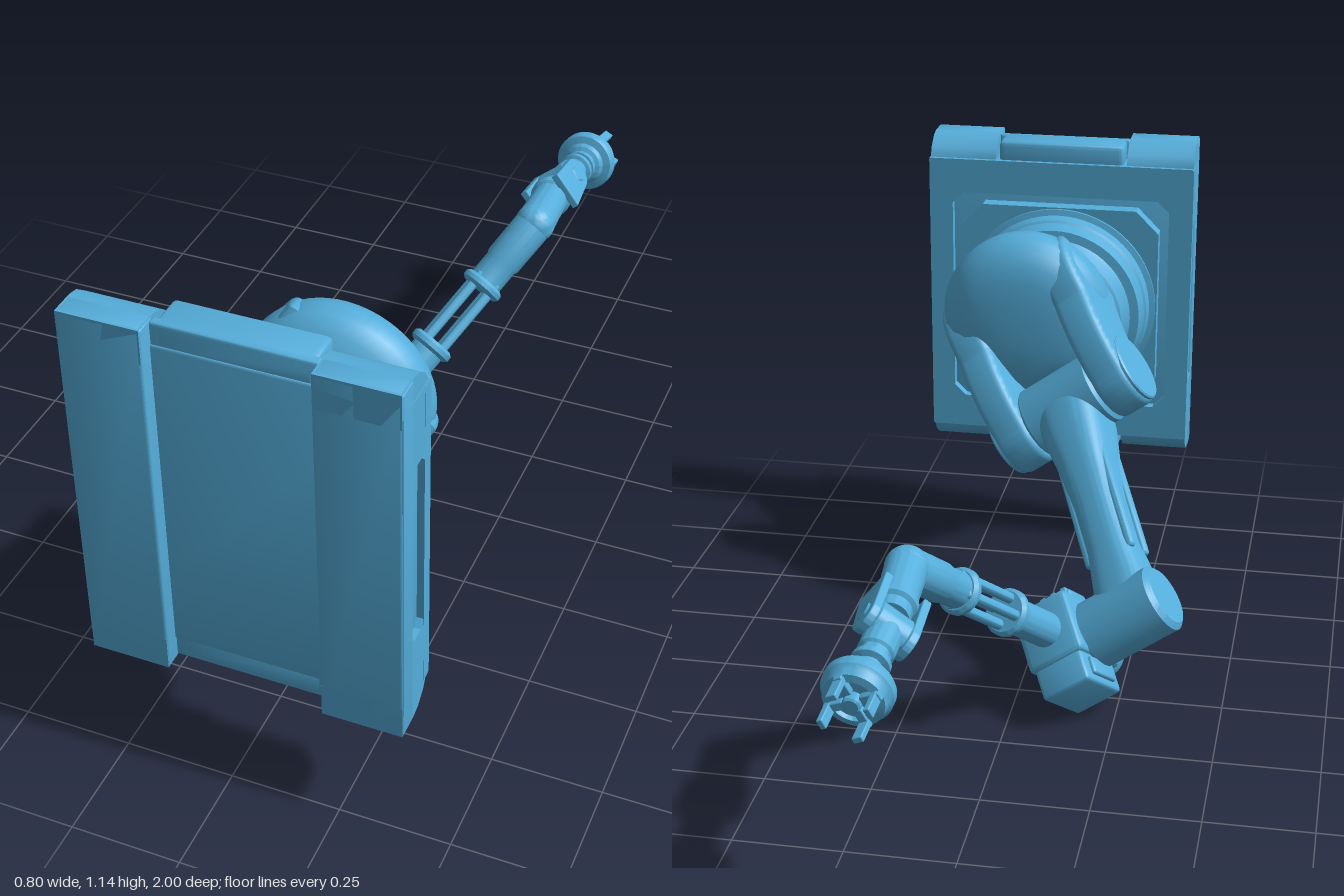
import * as THREE from 'three';
import { toCreasedNormals } from 'three/addons/utils/BufferGeometryUtils.js';
import { RoundedBoxGeometry } from 'three/addons/geometries/RoundedBoxGeometry.js';

const material = new THREE.MeshStandardMaterial({ color: 0x55aedb });
const V = (x, y, z) => new THREE.Vector3(x, y, z);

function add(parent, name, geometry, x = 0, y = 0, z = 0) {
  const mesh = new THREE.Mesh(toCreasedNormals(geometry, 0.6), material);
  mesh.name = name;
  mesh.position.set(x, y, z);
  parent.add(mesh);
  return mesh;
}

function subgroup(parent, name) {
  const g = new THREE.Group();
  g.name = name;
  parent.add(g);
  return g;
}

// Box given by its minimum and maximum corners
function box(parent, name, a, b, r = 0.006) {
  const s = b.map((v, i) => v - a[i]);
  return add(parent, name, new RoundedBoxGeometry(s[0], s[1], s[2], 2, r),
    (a[0] + b[0]) / 2, (a[1] + b[1]) / 2, (a[2] + b[2]) / 2);
}

const lathe = (pts, n = 48) => new THREE.LatheGeometry(pts.map(p => new THREE.Vector2(p[0], p[1])), n);

// Cylinder with chamfered rims, running along y from y0 to y1
function drum(parent, name, r, y0, y1, x = 0, z = 0, c = 0.008) {
  return add(parent, name, lathe([[0, y0], [r - c, y0], [r, y0 + c], [r, y1 - c], [r - c, y1], [0, y1]]), x, 0, z);
}

const polygon = pts => new THREE.Shape(pts.map(p => new THREE.Vector2(p[0], p[1])));

// Rectangle with cut corners
function octagon(x0, x1, y0, y1, c) {
  return polygon([[x0 + c, y0], [x1 - c, y0], [x1, y0 + c], [x1, y1 - c],
    [x1 - c, y1], [x0 + c, y1], [x0, y1 - c], [x0, y0 + c]]);
}

function extrude(shape, depth, bevel = 0) {
  const g = new THREE.ExtrudeGeometry(shape, { depth, bevelEnabled: bevel > 0, bevelSize: bevel,
    bevelThickness: bevel, bevelSegments: 4, curveSegments: 24 });
  return g.translate(0, 0, -depth / 2);
}

// Skin over superellipse sections [z, centreX, radiusX, radiusY, power]
function loft(sections, n = 56) {
  const pos = [], index = [];
  for (const [z, cx, rx, ry, p = 2] of sections) {
    for (let j = 0; j < n; j++) {
      const t = j / n * Math.PI * 2, c = Math.cos(t), s = Math.sin(t);
      pos.push(cx + rx * Math.sign(c) * Math.abs(c) ** (2 / p), ry * Math.sign(s) * Math.abs(s) ** (2 / p), z);
    }
  }
  const last = sections.length - 1;
  pos.push(sections[0][1], 0, sections[0][0], sections[last][1], 0, sections[last][0]);
  const c0 = sections.length * n;
  for (let j = 0; j < n; j++) {
    const k = (j + 1) % n;
    for (let i = 0; i < last; i++) {
      const a = i * n + j, b = i * n + k;
      index.push(a, b, b + n, a, b + n, a + n);
    }
    index.push(c0, k, j, c0 + 1, last * n + j, last * n + k);
  }
  const g = new THREE.BufferGeometry();
  g.setAttribute('position', new THREE.Float32BufferAttribute(pos, 3));
  g.setIndex(index);
  g.computeVertexNormals();
  return g;
}

function buildBase(root) {
  const base = subgroup(root, 'wallBase');
  base.position.set(0.0425, 0.71, 0);
  box(base, 'plateCore', [-0.337, -0.38, 0.885], [0.337, 0.38, 0.965]);
  box(base, 'centrePanel', [-0.165, -0.43, 0.872], [0.165, -0.36, 0.962], 0.012);
  box(base, 'centrePanel', [-0.165, 0.36, 0.872], [0.165, 0.43, 0.962], 0.012);
  box(base, 'centreBack', [-0.175, -0.43, 0.94], [0.175, 0.43, 0.962]);

  // Frame around the square recess
  const frame = octagon(-0.352, 0.352, -0.38, 0.38, 0.004);
  frame.holes.push(octagon(-0.29, 0.29, -0.29, 0.29, 0.03));
  add(base, 'recessFrame', extrude(frame, 0.03), 0, 0, 0.875);
  add(base, 'mountPlate', extrude(octagon(-0.265, 0.265, -0.265, 0.265, 0.06), 0.04), 0, 0, 0.865);

  for (const s of [-1, 1]) {
    // Side skin with an elongated recess
    const side = octagon(0.862, 0.998, -0.38, 0.38, 0.003);
    side.holes.push(octagon(0.88, 0.965, -0.22, 0.22, 0.025));
    add(base, 'sidePanel', extrude(side, 0.017), s * 0.343, 0, 0).rotation.y = -Math.PI / 2;
    box(base, 'backStrip', [s > 0 ? 0.172 : -0.352, -0.434, 0.945], [s > 0 ? 0.352 : -0.172, 0.434, 1]);
    for (const t of [-1, 1]) {
      const foot = polygon([[1, 0.434], [0.94, 0.434], [0.915, 0.428], [0.885, 0.405],
        [0.87, 0.378], [0.87, 0.355], [1, 0.355]].map(([z, y]) => [z, y * t]));
      add(base, 'cornerFoot', extrude(foot, 0.176), s * 0.262, 0, 0).rotation.y = -Math.PI / 2;
    }
  }
  // Stepped turntable
  add(base, 'turntable', lathe([[0.262, -0.01], [0.262, 0.022], [0.247, 0.026], [0.243, 0.055], [0.237, 0.06],
    [0.228, 0.1], [0.205, 0.103], [0.2, 0.112], [0.188, 0.15], [0.175, 0.158], [0.168, 0.19], [0, 0.2]], 64),
  0, 0, 0.86).rotation.x = -Math.PI / 2;
}

// Arm frame: x runs radially out from the turntable axis, y sideways, z away from the wall
function buildArm(root) {
  const arm = subgroup(root, 'arm'), a = 0.619, sn = Math.sin(a), cs = Math.cos(a);
  arm.quaternion.setFromRotationMatrix(new THREE.Matrix4().makeBasis(V(-sn, -cs, 0), V(-cs, sn, 0), V(0, 0, -1)));
  arm.position.set(0.0425, 0.71, 0);

  add(arm, 'shoulderBody', loft([[-0.72, 0, 0.165, 0.165], [-0.69, -0.01, 0.168, 0.168], [-0.67, -0.035, 0.182, 0.185],
    [-0.645, -0.06, 0.203, 0.205], [-0.615, -0.071, 0.213, 0.213], [-0.58, -0.074, 0.213, 0.213],
    [-0.55, -0.074, 0.203, 0.205], [-0.525, -0.072, 0.182, 0.185], [-0.507, -0.07, 0.15, 0.155],
    [-0.497, -0.07, 0.11, 0.11], [-0.493, -0.07, 0.05, 0.05]]));

  // Shoulder fork
  const cheek = new THREE.Shape();
  cheek.moveTo(0.02, -0.64);
  cheek.quadraticCurveTo(0.08, -0.55, 0.14, -0.531);
  cheek.absarc(0.166, -0.46, 0.076, -1.92, 2.0, false);
  cheek.quadraticCurveTo(0.02, -0.42, -0.06, -0.5);
  cheek.quadraticCurveTo(-0.16, -0.54, -0.17, -0.6);
  cheek.lineTo(-0.06, -0.65);
  for (const s of [-1, 1]) {
    add(arm, 'shoulderFork', extrude(cheek, 0.056, 0.02), 0, s * 0.15, 0).rotation.x = Math.PI / 2;
    drum(arm, 'shoulderCap', 0.09, s > 0 ? 0.18 : -0.203, s > 0 ? 0.203 : -0.18, 0.166, -0.46, 0.004);
  }

  // Upper arm, waisted between the two hubs
  drum(arm, 'shoulderHub', 0.095, -0.105, 0.105, 0.166, -0.46);
  const link = subgroup(arm, 'upperArm');
  link.position.set(0.166, 0, -0.46);
  link.rotation.y = Math.atan2(0.395, 0.49);
  add(link, 'upperArmBeam', loft([[0, 0, 0.092, 0.09, 3], [0.1, 0, 0.086, 0.085, 3], [0.2, 0, 0.073, 0.07, 3],
    [0.32, 0, 0.064, 0.06, 3], [0.45, 0, 0.062, 0.06, 3], [0.55, 0, 0.068, 0.072, 3], [0.63, 0, 0.075, 0.082, 3]]));
  for (const s of [-1, 1]) for (const x of [-0.032, 0.032]) {
    const rib = add(link, 'upperArmRib', new THREE.CapsuleGeometry(0.014, 0.3, 6, 14), x, s * 0.057, 0.32);
    rib.rotation.x = Math.PI / 2;
  }
  drum(arm, 'elbowHub', 0.084, -0.12, 0.09, 0.561, 0.03);
  drum(arm, 'elbowCap', 0.075, 0.08, 0.094, 0.561, 0.03, 0.004);

  // Forearm frame: y runs along the forearm
  const fore = subgroup(arm, 'forearm');
  fore.quaternion.setFromRotationMatrix(new THREE.Matrix4().makeBasis(
    V(0.687, 0, 0.727), V(-0.727, 0, 0.687), V(0, -1, 0)));
  fore.position.set(0.634, -0.185, -0.07);
  add(fore, 'rearMotorCap', lathe([[0, -0.055], [0.045, -0.055], [0.062, -0.046], [0.068, -0.03], [0.068, -0.008],
    [0.055, 0.002], [0.05, 0.005], [0.05, 0.05], [0, 0.05]]));
  box(fore, 'elbowHousing', [-0.078, 0.03, -0.076], [0.085, 0.225, 0.076], 0.014);
  box(fore, 'sideGearbox', [0.07, 0.055, -0.064], [0.158, 0.215, 0.066], 0.01);
  box(fore, 'gearboxCover', [0.095, 0.085, -0.074], [0.14, 0.185, 0.076], 0.006);
  box(fore, 'motorBlock', [-0.122, 0.045, -0.045], [-0.07, 0.125, 0.045], 0.008);
  for (const z of [-0.03, 0, 0.03]) box(fore, 'motorFin', [-0.128, 0.04, z - 0.008], [-0.075, 0.13, z + 0.008], 0.003);
  box(fore, 'housingPlate', [-0.05, 0.06, 0.07], [0.055, 0.195, 0.084], 0.005);

  drum(fore, 'innerTube', 0.043, 0.2, 0.385);
  drum(fore, 'innerCollar', 0.057, 0.378, 0.406);
  for (let i = 0; i < 4; i++) {
    const t = Math.PI / 4 + i * Math.PI / 2;
    drum(fore, 'forearmRod', 0.013, 0.39, 0.61, 0.033 * Math.cos(t), 0.033 * Math.sin(t), 0.002);
  }
  drum(fore, 'outerCollar', 0.055, 0.575, 0.602);
  add(fore, 'outerTube', lathe([[0, 0.59], [0.043, 0.59], [0.043, 0.66], [0.047, 0.67], [0.048, 0.79], [0, 0.8]]));
}

// Group whose y axis runs from a towards b
function along(parent, name, a, b) {
  const g = subgroup(parent, name);
  g.position.copy(a);
  g.quaternion.setFromUnitVectors(V(0, 1, 0), b.clone().sub(a).normalize());
  return g;
}

function buildWrist(root) {
  const bend = V(0.16, 0.556, -0.475), joint = V(0.148, 0.534, -0.7), tip = V(0.168, 0.478, -1);
  add(root, 'wristBend', new THREE.SphereGeometry(0.05, 32, 20), bend.x, bend.y, bend.z);

  const wrist = along(root, 'wrist', bend, joint);
  add(wrist, 'wristTube', lathe([[0, 0], [0.049, 0], [0.047, 0.06], [0.045, 0.14], [0.052, 0.145], [0.052, 0.165],
    [0.042, 0.17], [0.04, 0.2], [0, 0.2]]));
  // Clevis cheeks with pins
  const cheek = new THREE.Shape();
  cheek.moveTo(-0.045, 0.14);
  cheek.lineTo(0.045, 0.14);
  cheek.lineTo(0.037, 0.24);
  cheek.absarc(0, 0.24, 0.037, 0, Math.PI, false);
  const clevis = subgroup(wrist, 'wristClevis');
  clevis.rotation.y = 0.95;
  for (const s of [-1, 1]) add(clevis, 'clevisCheek', extrude(cheek, 0.012, 0.004), 0, 0, s * 0.05);
  drum(clevis, 'wristPin', 0.022, -0.064, 0.064, 0, 0, 0.004).rotation.x = Math.PI / 2;
  clevis.children[2].position.y = 0.235;
  drum(clevis, 'wristKnuckle', 0.042, -0.045, 0.045).rotation.x = Math.PI / 2;
  clevis.children[3].position.y = 0.235;

  // Tool flange and gripper
  const tool = along(root, 'tool', joint, tip);
  add(tool, 'toolFlange', lathe([[0, 0], [0.04, 0], [0.04, 0.09], [0.034, 0.095], [0.034, 0.115], [0.043, 0.118],
    [0.043, 0.132], [0.03, 0.136], [0.03, 0.148], [0.04, 0.15], [0.04, 0.165], [0.05, 0.17], [0.055, 0.183],
    [0.073, 0.188], [0.077, 0.195], [0.077, 0.215], [0.07, 0.222], [0.066, 0.24], [0.05, 0.244],
    [0.046, 0.235], [0, 0.235]]));
  drum(tool, 'toolHub', 0.02, 0.22, 0.26, 0, 0, 0.004);
  for (let i = 0; i < 4; i++) {
    const jaw = subgroup(tool, 'gripperJaw');
    jaw.rotation.y = i * Math.PI / 2 + 0.35;
    box(jaw, 'jawSlide', [0.02, 0.225, -0.01], [0.066, 0.25, 0.01], 0.003);
    box(jaw, 'jawFinger', [0.048, 0.235, -0.012], [0.062, 0.298, 0.012], 0.003);
  }
}

export function createModel() {
  const root = new THREE.Group();
  root.name = 'wallMountedRobotArm';
  buildBase(root);
  buildArm(root);
  buildWrist(root);
  return root;
}
